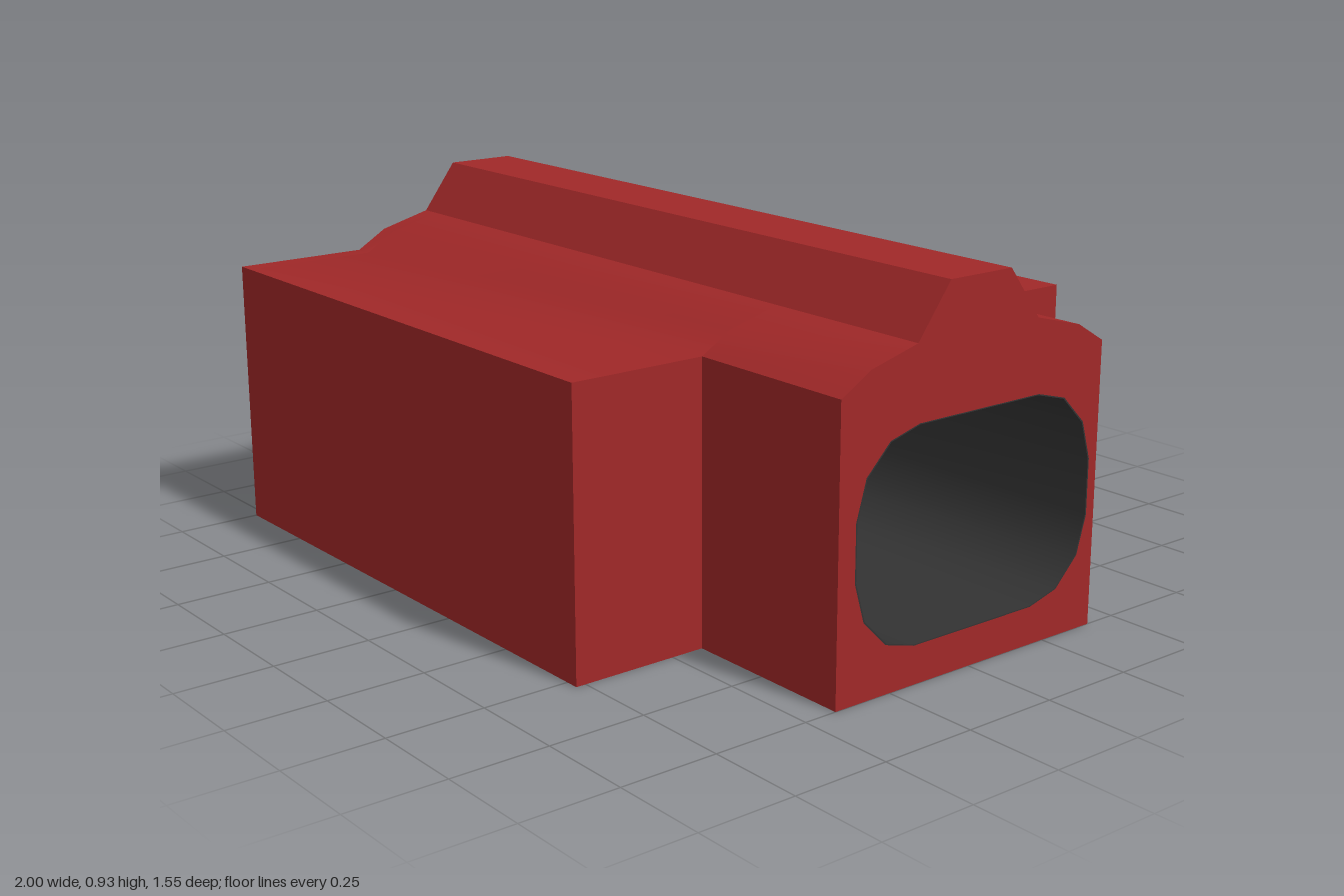
import * as THREE from 'three';
import { toCreasedNormals } from 'three/addons/utils/BufferGeometryUtils.js';

const red = new THREE.MeshStandardMaterial({ color: 0xa02828 });
red.name = 'brick red';
const dark = new THREE.MeshStandardMaterial({ color: 0x333333 });
dark.name = 'dark grey';

// Right half of the raised roof, from the eave up to the ridge
const ROOF = [[0.413, 0.71], [0.33, 0.76], [0.19, 0.797], [0.095, 0.925]];
// Upper right quarter of the tunnel mouth, about its own centre
const MOUTH = [[0.375, 0.07], [0.347, 0.166], [0.278, 0.236], [0.19, 0.26]];
const MOUTH_X = 0.0125, MOUTH_Y = 0.355;

const vectors = (list) => list.map(([x, y]) => new THREE.Vector2(x, y));
const mirror = (half) => [...half, ...half.map(([x, y]) => [-x, y]).reverse()];

// Closed cross-section: flat base, mirrored roof
function section(halfWidth) {
  const half = halfWidth > 0.5
    ? [[halfWidth, 0], [halfWidth, 0.71], ...ROOF]
    : [[ROOF[0][0], 0], ...ROOF];
  return new THREE.Shape(vectors(mirror(half)));
}

// Tunnel outline, optionally shrunk about its centre
function mouth(scale = 1) {
  const top = mirror(MOUTH);
  const all = [...top, ...top.map(([x, y]) => [-x, -y])];
  return vectors(all.map(([x, y]) => [MOUTH_X + x * scale, MOUTH_Y + y * scale]));
}

// Extrude a cross-section along x between two stations
function along(name, shape, x0, x1, material) {
  const extruded = new THREE.ExtrudeGeometry(shape, { depth: x1 - x0, bevelEnabled: false });
  extruded.rotateY(Math.PI / 2);
  extruded.translate(x0, 0, 0);
  const mesh = new THREE.Mesh(toCreasedNormals(extruded, 0.61), material);
  mesh.name = name;
  return mesh;
}

function pierced(shape) {
  shape.holes.push(new THREE.Path(mouth()));
  return shape;
}

export function createModel() {
  const group = new THREE.Group();
  group.name = 'tunnelBlock';

  // Wide body with a closed back end, and the narrower nose
  group.add(along('backWall', section(0.776), -1, -0.95, red));
  group.add(along('wideBody', pierced(section(0.776)), -0.95, 0.535, red));
  group.add(along('nose', pierced(section(0.413)), 0.535, 1, red));

  // Dark tunnel lining and its end plate
  const lining = new THREE.Shape(mouth());
  lining.holes.push(new THREE.Path(mouth(0.99)));
  group.add(along('tunnelLining', lining, -0.95, 1, dark));
  group.add(along('tunnelEnd', new THREE.Shape(mouth(0.995)), -0.95, -0.942, dark));

  return group;
}
